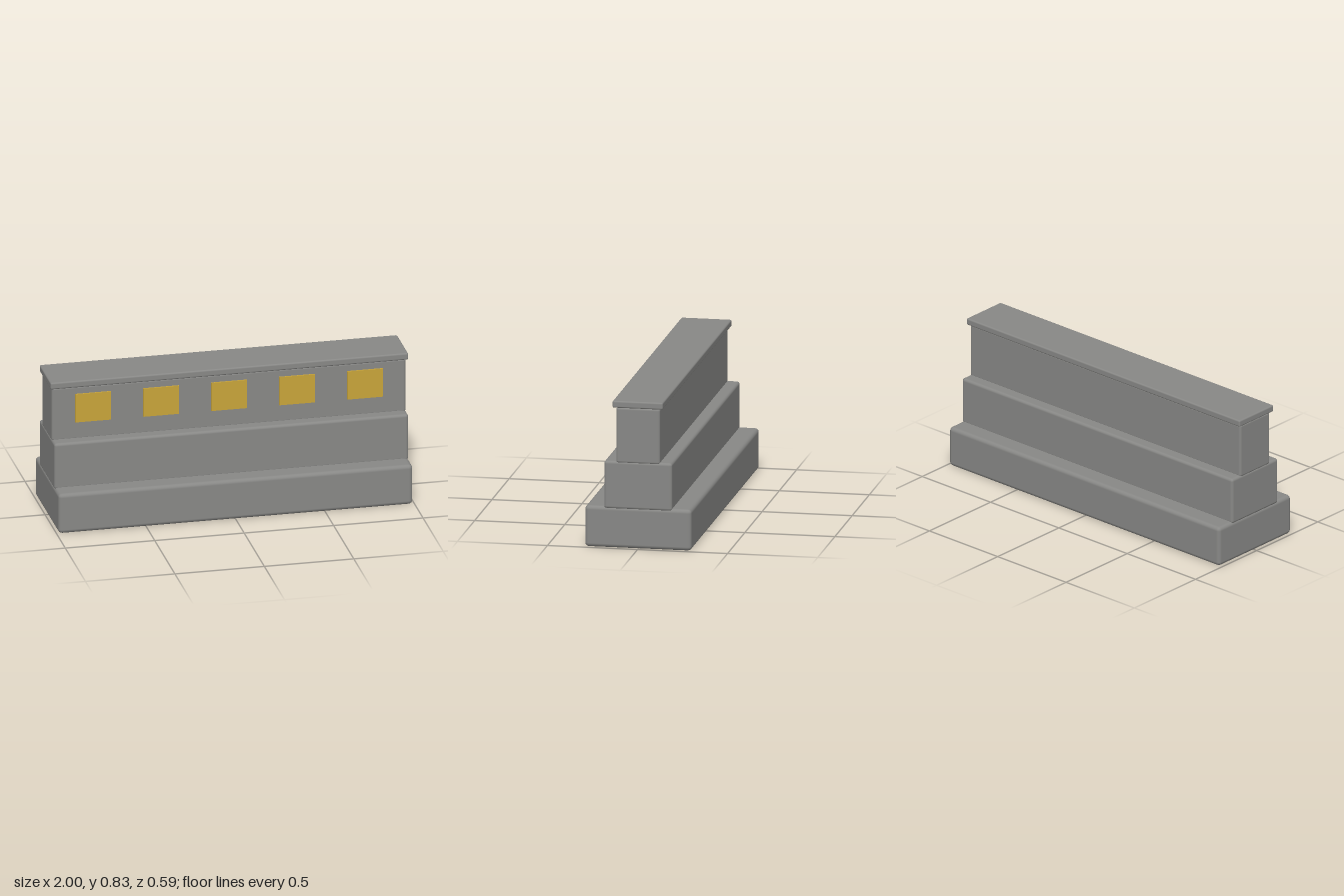
import * as THREE from 'three';
import { RoundedBoxGeometry } from 'three/addons/geometries/RoundedBoxGeometry.js';

export function createModel() {
  const model = new THREE.Group();
  model.name = 'steppedWall';

  const stone = new THREE.MeshStandardMaterial({ color: 0x888886 });
  stone.name = 'grey stone';
  const gold = new THREE.MeshStandardMaterial({ color: 0xc9a53a });
  gold.name = 'gold';

  // Stone block with softened edges, spanning y0..y1
  function block(name, width, depth, y0, y1, radius) {
    const mesh = new THREE.Mesh(new RoundedBoxGeometry(width, y1 - y0, depth, 2, radius), stone);
    mesh.name = name;
    mesh.position.y = (y0 + y1) / 2;
    model.add(mesh);
  }

  // Three tiers, each narrower than the one below, and a thin coping
  block('baseTier', 1.98, 0.592, 0, 0.231, 0.022);
  block('middleTier', 1.98, 0.378, 0.218, 0.487, 0.016);
  block('upperTier', 1.98, 0.244, 0.476, 0.79, 0.014);
  block('coping', 2.0, 0.28, 0.788, 0.827, 0.009);

  // Row of gold panels on the front of the upper tier
  const panelGeometry = new THREE.BoxGeometry(0.2, 0.165, 0.0095);
  for (let i = -2; i <= 2; i++) {
    const panel = new THREE.Mesh(panelGeometry, gold);
    panel.name = `frontPanel${i + 3}`;
    panel.position.set(i * 0.38, 0.663, 0.1257);
    model.add(panel);
  }

  return model;
}
